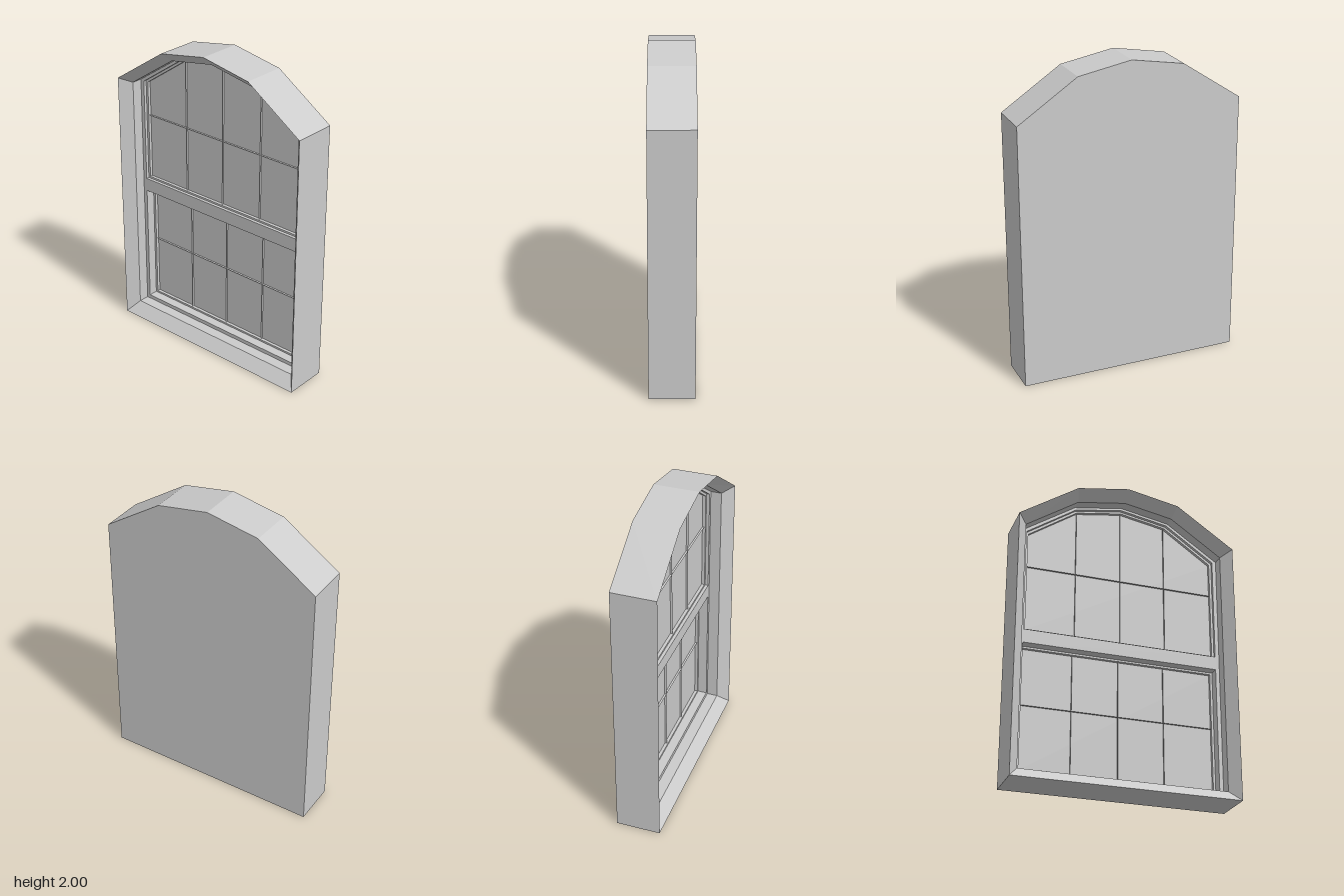
import * as THREE from 'three';

const material = new THREE.MeshStandardMaterial({ color: 0xcccccc, flatShading: true });
const thin = new THREE.MeshStandardMaterial({ color: 0xcccccc, flatShading: true, side: THREE.DoubleSide });

// Counter-clockwise outlines [x, y]
const arch = (w, y0, spring, w2, shoulder, top) =>
  [[-w, y0], [w, y0], [w, spring], [w2, shoulder], [0, top], [-w2, shoulder], [-w, spring]];
const rect = (w, y0, y1) => [[-w, y0], [w, y0], [w, y1], [-w, y1]];

// Band of flat quads through successive [outline, z] loops
function loft(loops) {
  const pos = [];
  for (let k = 0; k + 1 < loops.length; k++) {
    const [A, za] = loops[k], [B, zb] = loops[k + 1];
    for (let i = 0; i < A.length; i++) {
      const j = (i + 1) % A.length;
      const a = [...A[i], za], b = [...A[j], za], c = [...B[j], zb], d = [...B[i], zb];
      pos.push(...a, ...b, ...c, ...a, ...c, ...d);
    }
  }
  const g = new THREE.BufferGeometry();
  g.setAttribute('position', new THREE.Float32BufferAttribute(pos, 3));
  g.computeVertexNormals();
  return g;
}

// Flat sheet facing +z, with optional holes
function sheet(outline, z, holes = []) {
  const vec = pts => pts.map(p => new THREE.Vector2(...p));
  const shape = new THREE.Shape(vec(outline));
  shape.holes = holes.map(h => new THREE.Path(vec(h)));
  return new THREE.ShapeGeometry(shape).translate(0, 0, z);
}

export function createModel() {
  const root = new THREE.Group();
  root.name = 'archedWindow';
  const add = (parent, name, geometry, mat = material) => {
    const mesh = new THREE.Mesh(geometry, mat);
    mesh.name = name;
    parent.add(mesh);
    return mesh;
  };

  const outer = arch(0.71, 0, 1.69, 0.335, 1.94, 2);
  const inner = arch(0.65, 0.07, 1.655, 0.315, 1.88, 1.935);
  const upperOuter = arch(0.625, 0.975, 1.648, 0.306, 1.866, 1.92);
  const upperInner = arch(0.61, 0.987, 1.64, 0.297, 1.855, 1.907);
  const lowerOuter = rect(0.625, 0.095, 0.888);
  const lowerInner = rect(0.61, 0.107, 0.876);

  // Casing: outer wall, sloped front bevel and straight reveal
  add(root, 'casing', loft([[outer, -0.14], [outer, 0.14], [inner, 0.07], [inner, 0]]));
  add(root, 'backPanel', sheet(outer.map(([x, y]) => [-x, y]).reverse(), 0).rotateY(Math.PI).translate(0, 0, -0.14));

  // Stiles and rails in one plane around both openings
  add(root, 'sashFrame', sheet(inner, 0, [upperOuter, lowerOuter]));

  const sashes = [
    { name: 'upperSash', o: upperOuter, i: upperInner, step: -0.02, glass: -0.04, barY: 1.415, tops: [1.853, 1.907, 1.853] },
    { name: 'lowerSash', o: lowerOuter, i: lowerInner, step: -0.06, glass: -0.08, barY: 0.512, tops: [0.876, 0.876, 0.876] },
  ];
  const barDepth = 0.013;
  for (const s of sashes) {
    const sash = new THREE.Group();
    sash.name = s.name;
    root.add(sash);
    // Stepped recess and pane
    add(sash, 'recess', loft([[s.o, 0], [s.o, s.step], [s.i, s.step], [s.i, s.glass]]));
    add(sash, 'pane', sheet(s.i, s.glass));

    // Thin glazing fins standing out from the pane
    const z = s.glass + barDepth / 2, y0 = s.i[0][1];
    [-0.295, 0, 0.295].forEach((x, k) => {
      const h = s.tops[k] - y0;
      add(sash, 'verticalGlazingBar', new THREE.PlaneGeometry(barDepth, h).rotateY(Math.PI / 2), thin)
        .position.set(x, y0 + h / 2, z);
    });
    add(sash, 'horizontalGlazingBar', new THREE.PlaneGeometry(1.22, barDepth).rotateX(-Math.PI / 2), thin)
      .position.set(0, s.barY, z);
  }
  return root;
}
